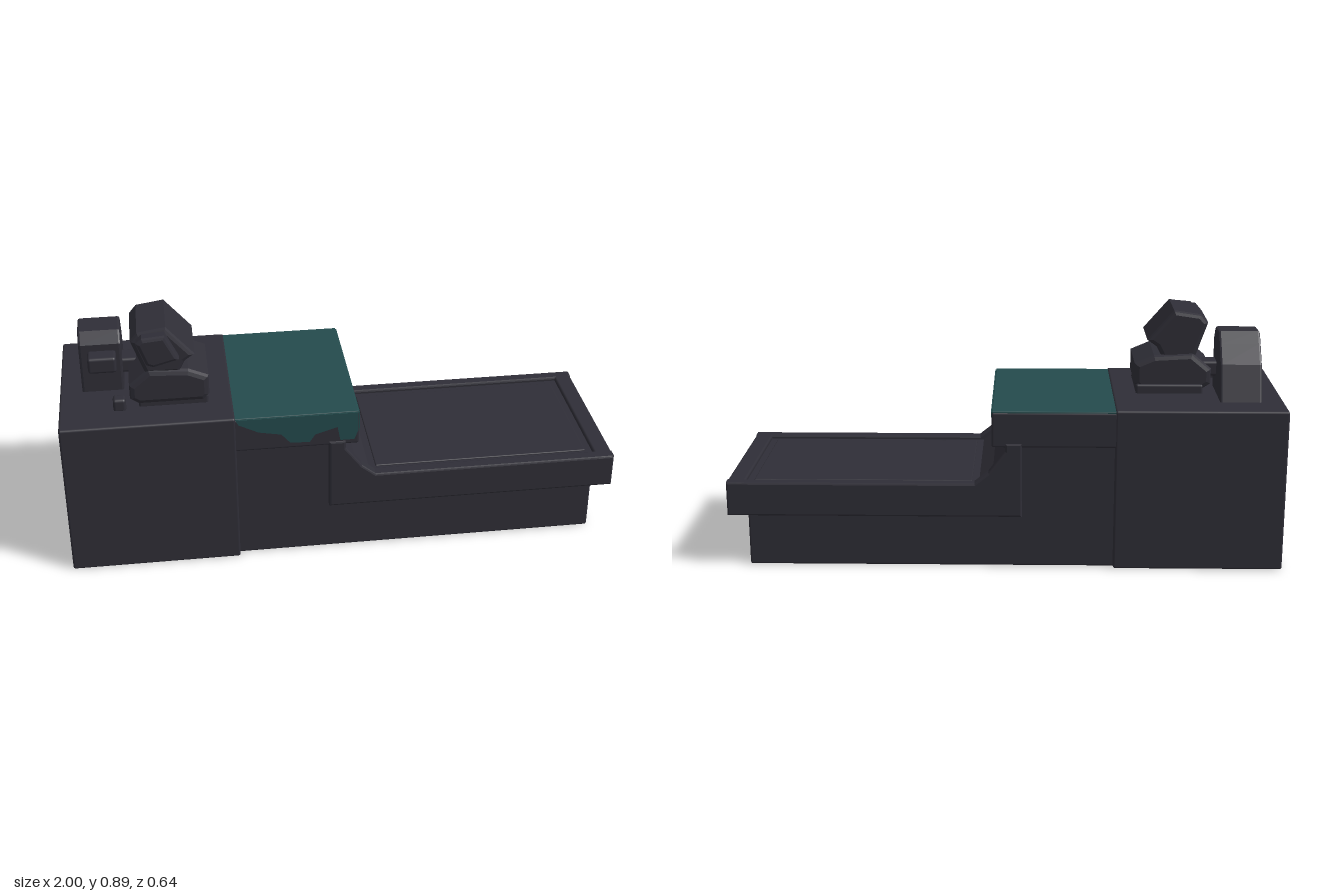
import * as THREE from 'three';
import { RoundedBoxGeometry } from 'three/addons/geometries/RoundedBoxGeometry.js';

export function createModel() {
  const model = new THREE.Group();
  model.name = 'checkoutCounter';
  const charcoal = new THREE.MeshStandardMaterial({ color: 0x2f2e37 });
  charcoal.name = 'charcoal';
  const teal = new THREE.MeshStandardMaterial({ color: 0x244b4d });
  teal.name = 'teal';

  function add(name, geometry, material = charcoal, parent = model) {
    const mesh = new THREE.Mesh(geometry, material);
    mesh.name = name;
    parent.add(mesh);
    return mesh;
  }

  // Softened box given by its limits on each axis
  function box(name, [x0, x1], [y0, y1], [z0, z1], radius = 0.008, material = charcoal, parent = model) {
    const geo = new RoundedBoxGeometry(x1 - x0, y1 - y0, z1 - z0, 2, radius);
    geo.translate((x0 + x1) / 2, (y0 + y1) / 2, (z0 + z1) / 2);
    return add(name, geo, material, parent);
  }

  function extrude(points, depth, bevel) {
    const shape = new THREE.Shape(points.map(([x, y]) => new THREE.Vector2(x, y)));
    const geo = new THREE.ExtrudeGeometry(shape, {
      depth: depth - 2 * bevel, bevelEnabled: bevel > 0, bevelSize: bevel,
      bevelOffset: -bevel, bevelThickness: bevel, bevelSegments: 2,
    });
    return geo.translate(0, 0, bevel);
  }

  // Profile in (x, y), extruded from z0 to z1
  function alongZ(name, points, z0, z1, bevel = 0, material = charcoal, parent = model) {
    return add(name, extrude(points, z1 - z0, bevel).translate(0, 0, z0), material, parent);
  }

  // Profile in (z, y), extruded from x0 to x1
  function alongX(name, points, x0, x1, bevel = 0, material = charcoal, parent = model) {
    const geo = extrude(points.map(([z, y]) => [-z, y]), x1 - x0, bevel);
    return add(name, geo.rotateY(Math.PI / 2).translate(x0, 0, 0), material, parent);
  }

  // Cabinet and the narrower base under the counter
  box('cabinet', [-1, -0.39], [0, 0.592], [-0.32, 0.32]);
  box('middleBody', [-0.42, -0.02], [0, 0.47], [-0.295, 0.295]);
  box('trayBase', [-0.1, 0.93], [0, 0.21], [-0.295, 0.295]);
  alongX('endPanel', [[0.115, 0.13], [0.13, 0.09], [0.06, 0.02], [-0.14, 0.015], [-0.15, 0.035]], 0.928, 0.937);

  // Bagging tray: raised cheeks and end rail around a sunken floor
  const cheek = [[-0.06, 0.195], [1, 0.195], [1, 0.32], [0.11, 0.32],
    [0.06, 0.36], [0, 0.44], [0, 0.47], [-0.06, 0.47]];
  const floor = [[-0.05, 0.2], [0.95, 0.2], [0.95, 0.306], [0.095, 0.306],
    [0.045, 0.35], [-0.015, 0.43], [-0.015, 0.47], [-0.05, 0.47]];
  for (const side of [-1, 1]) {
    const inner = side * 0.275, outer = side * 0.322;
    alongZ(side > 0 ? 'trayCheekFront' : 'trayCheekBack', cheek,
      Math.min(inner, outer), Math.max(inner, outer), 0.007);
  }
  alongZ('trayFloor', floor, -0.285, 0.285);
  box('trayEndRail', [0.935, 1], [0.195, 0.32], [-0.322, 0.322]);
  box('trayMat', [0.12, 0.91], [0.3, 0.311], [-0.25, 0.25], 0.004);

  // Counter slab with its teal surface and uneven teal edges
  box('counterSlab', [-0.4, 0.048], [0.455, 0.584], [-0.318, 0.316]);
  box('counterSurface', [-0.395, 0.046], [0.58, 0.588], [-0.316, 0.314], 0.003, teal);
  alongZ('frontTealEdge', [[-0.39, 0.584], [-0.38, 0.565], [-0.31, 0.53], [-0.23, 0.515],
    [-0.2, 0.48], [-0.13, 0.475], [-0.11, 0.505], [-0.03, 0.53], [-0.02, 0.475],
    [0.03, 0.475], [0.044, 0.51], [0.044, 0.584]], 0.313, 0.318, 0, teal);
  alongX('endTealEdge', [[0.312, 0.584], [0.312, 0.505], [0.29, 0.53], [0.26, 0.558], [0.18, 0.55],
    [0.08, 0.535], [0.02, 0.536], [-0.02, 0.55], [-0.06, 0.572], [-0.2, 0.573],
    [-0.31, 0.565], [-0.312, 0.584]], 0.045, 0.05, 0, teal);

  // Payment terminal with a sloping back
  const terminal = new THREE.Group();
  terminal.name = 'paymentTerminal';
  model.add(terminal);
  alongX('terminalBody', [[-0.2, 0.585], [-0.15, 0.72], [-0.1, 0.785], [-0.065, 0.825],
    [0.03, 0.822], [0.06, 0.78], [0.06, 0.585]], -0.92, -0.77, 0.008, charcoal, terminal);
  box('terminalReader', [-0.89, -0.79], [0.695, 0.755], [0.03, 0.12], 0.01, charcoal, terminal);
  box('terminalArm', [-0.8, -0.7], [0.65, 0.705], [-0.04, 0.04], 0.01, charcoal, terminal);

  // Scanner: foot, rounded body and tilted display
  const scanner = new THREE.Group();
  scanner.name = 'scanner';
  model.add(scanner);
  box('scannerFoot', [-0.72, -0.475], [0.585, 0.625], [-0.075, 0.19], 0.008, charcoal, scanner);
  alongZ('scannerBody', [[-0.75, 0.625], [-0.72, 0.605], [-0.49, 0.605], [-0.47, 0.625],
    [-0.47, 0.7], [-0.54, 0.73], [-0.68, 0.738], [-0.75, 0.68]], -0.065, 0.2, 0.018, charcoal, scanner);
  alongZ('displayHousing', [[-0.735, 0.85], [-0.71, 0.88], [-0.61, 0.895], [-0.515, 0.785],
    [-0.55, 0.76], [-0.57, 0.72], [-0.69, 0.72]], -0.05, 0.19, 0.015, charcoal, scanner);
  alongZ('displayPanel', [[-0.715, 0.86], [-0.695, 0.878], [-0.615, 0.885], [-0.57, 0.79],
    [-0.66, 0.765], [-0.685, 0.775]], 0.17, 0.23, 0.012, charcoal, scanner);
  box('scannerButton', [-0.81, -0.765], [0.585, 0.635], [0.165, 0.21], 0.01, charcoal, scanner);

  return model;
}
